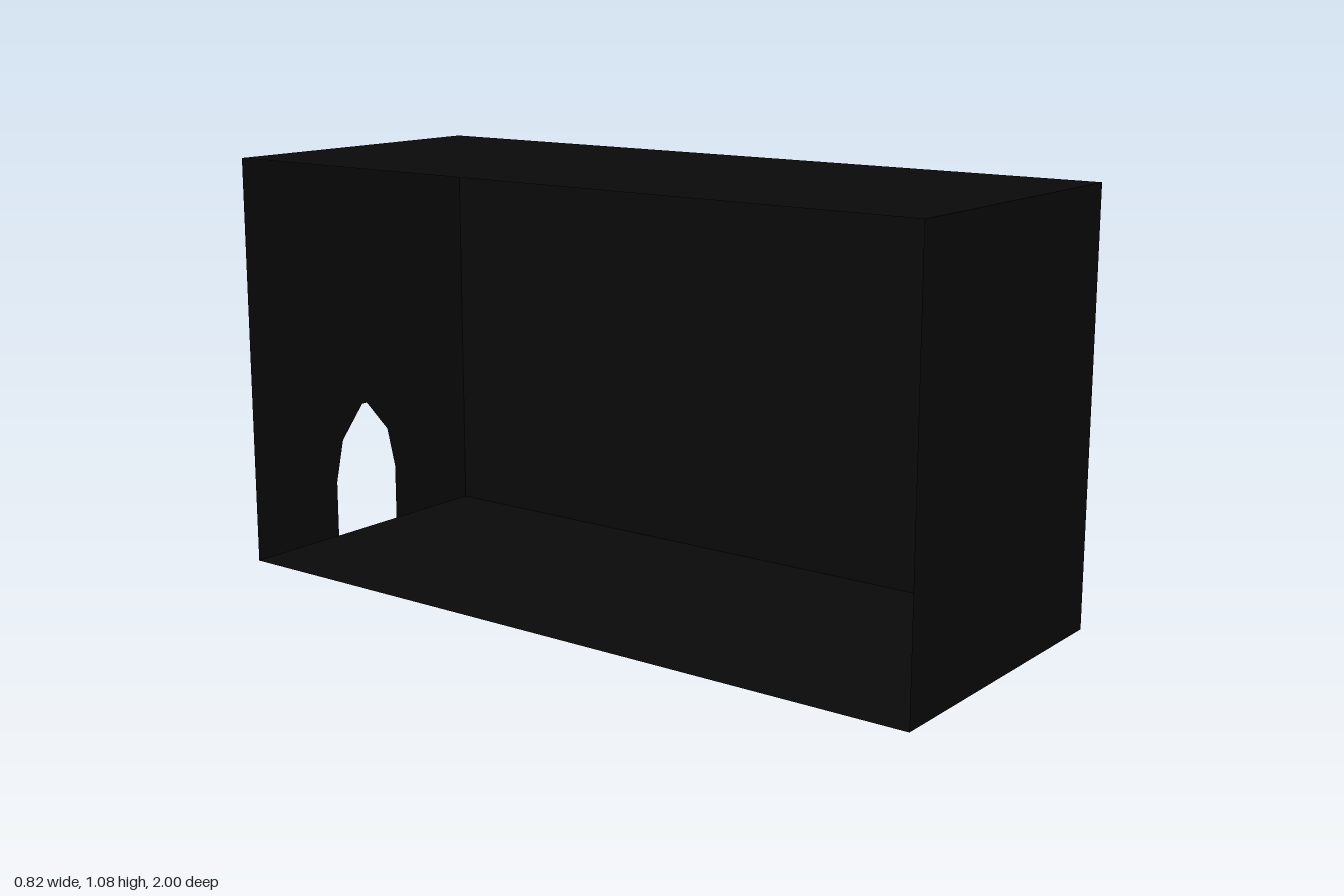
import * as THREE from 'three';

const W = 0.82, H = 1.08, L = 2;

export function createModel() {
  const group = new THREE.Group();
  const black = new THREE.MeshStandardMaterial({ color: 0x090909, side: THREE.DoubleSide });
  black.name = 'black';

  const add = (name, geometry, position, rotation = [0, 0, 0]) => {
    const mesh = new THREE.Mesh(geometry, black);
    mesh.name = name;
    mesh.position.set(...position);
    mesh.rotation.set(...rotation);
    group.add(mesh);
  };

  // Thin shell, open along the -x side
  const quarter = Math.PI / 2;
  add('floor', new THREE.PlaneGeometry(W, L), [0, 0, 0], [-quarter, 0, 0]);
  add('ceiling', new THREE.PlaneGeometry(W, L), [0, H, 0], [-quarter, 0, 0]);
  add('sideWall', new THREE.PlaneGeometry(L, H), [W / 2, H / 2, 0], [0, quarter, 0]);
  add('frontWall', new THREE.PlaneGeometry(W, H), [0, H / 2, L / 2]);

  // Back wall with a faceted mouse-hole arch cut up from the floor
  const half = [[0.115, 0], [0.115, 0.155], [0.088, 0.27], [0.01, 0.36]];
  const arch = [...half.map(([x, y]) => [-x, y]), ...half.slice().reverse()];
  const outline = [[-W / 2, 0], ...arch, [W / 2, 0], [W / 2, H], [-W / 2, H]];
  const wall = new THREE.Shape(outline.map(([x, y]) => new THREE.Vector2(x, y)));
  add('backWallWithArch', new THREE.ShapeGeometry(wall), [0, 0, -L / 2], [0, Math.PI, 0]);

  return group;
}
